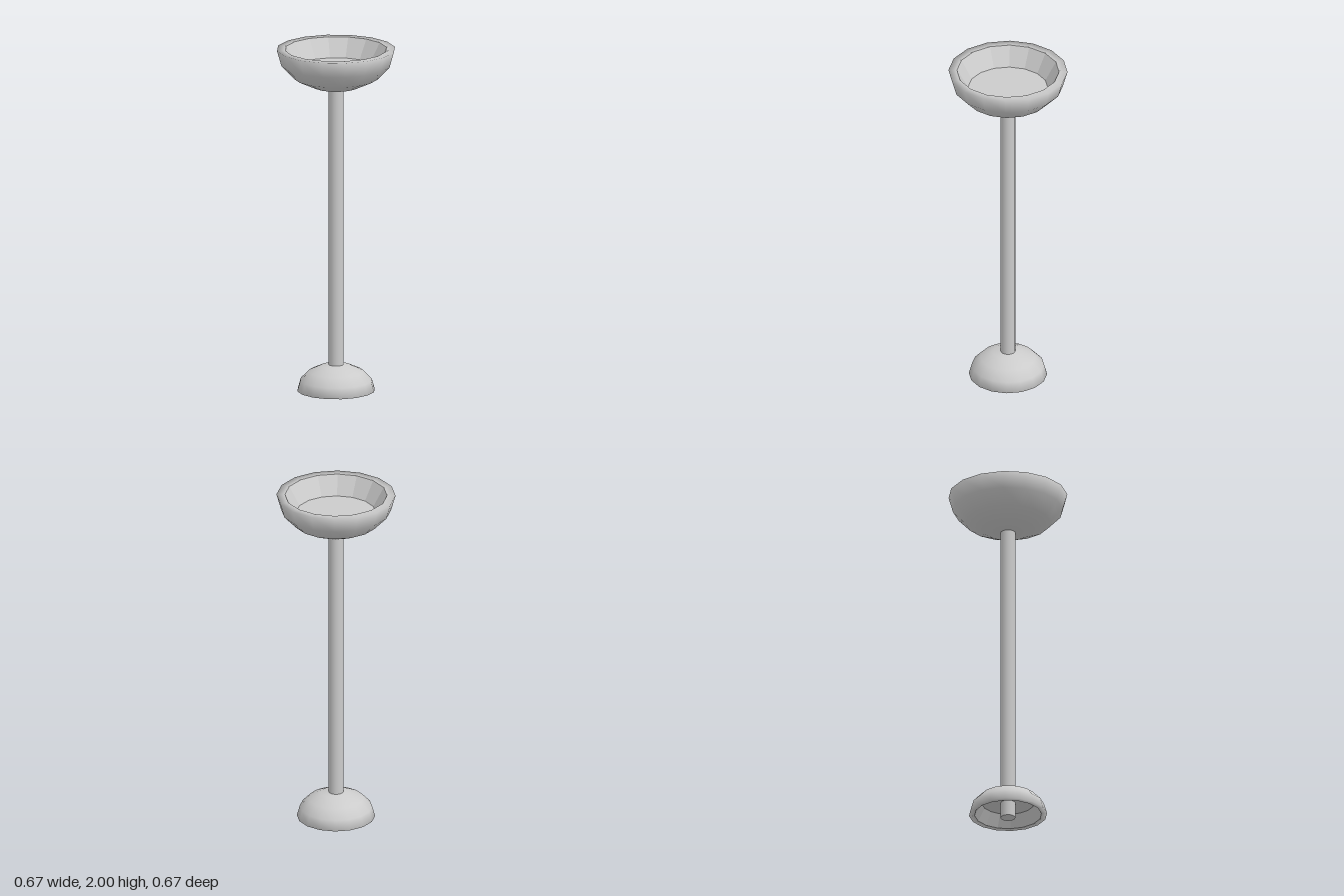
import * as THREE from 'three';

const SIDES = 16;
const smooth = new THREE.MeshStandardMaterial({ color: 0xcccccc });
const faceted = new THREE.MeshStandardMaterial({ color: 0xcccccc, flatShading: true });

const lathe = (points, material, name) => {
  const profile = points.map(([r, y]) => new THREE.Vector2(r, y));
  const mesh = new THREE.Mesh(new THREE.LatheGeometry(profile, SIDES), material);
  mesh.name = name;
  return mesh;
};

// Squashed half sphere with a recessed flat side, its rim at y = 0
function createBowl(name) {
  const radius = 0.336, height = 0.235, lip = 0.288, floor = 0.225, depth = 0.107;
  const shell = [];
  for (let i = 0; i <= 4; i++) {
    const a = (i / 4) * Math.PI / 2;
    shell.push([radius * Math.sin(a), -height * Math.cos(a)]);
  }
  shell.push([lip, 0]);

  const bowl = new THREE.Group();
  bowl.name = name;
  bowl.add(
    lathe(shell, smooth, name + 'Shell'),
    lathe([[lip, 0], [floor, -depth], [0, -depth]], faceted, name + 'Recess')
  );
  return bowl;
}

export function createModel() {
  const model = new THREE.Group();
  model.name = 'pedestalBowl';

  // Open bowl at the top
  const bowl = createBowl('bowl');
  bowl.position.y = 2;

  // Smaller copy turned over as the foot
  const foot = createBowl('foot');
  foot.scale.setScalar(0.657);
  foot.rotation.x = Math.PI;
  foot.position.y = 0.02;

  // Pole running through the foot down to the ground
  const pole = new THREE.Mesh(new THREE.CylinderGeometry(0.042, 0.042, 1.78, SIDES), smooth);
  pole.name = 'pole';
  pole.position.y = 0.89;

  model.add(bowl, foot, pole);
  return model;
}
